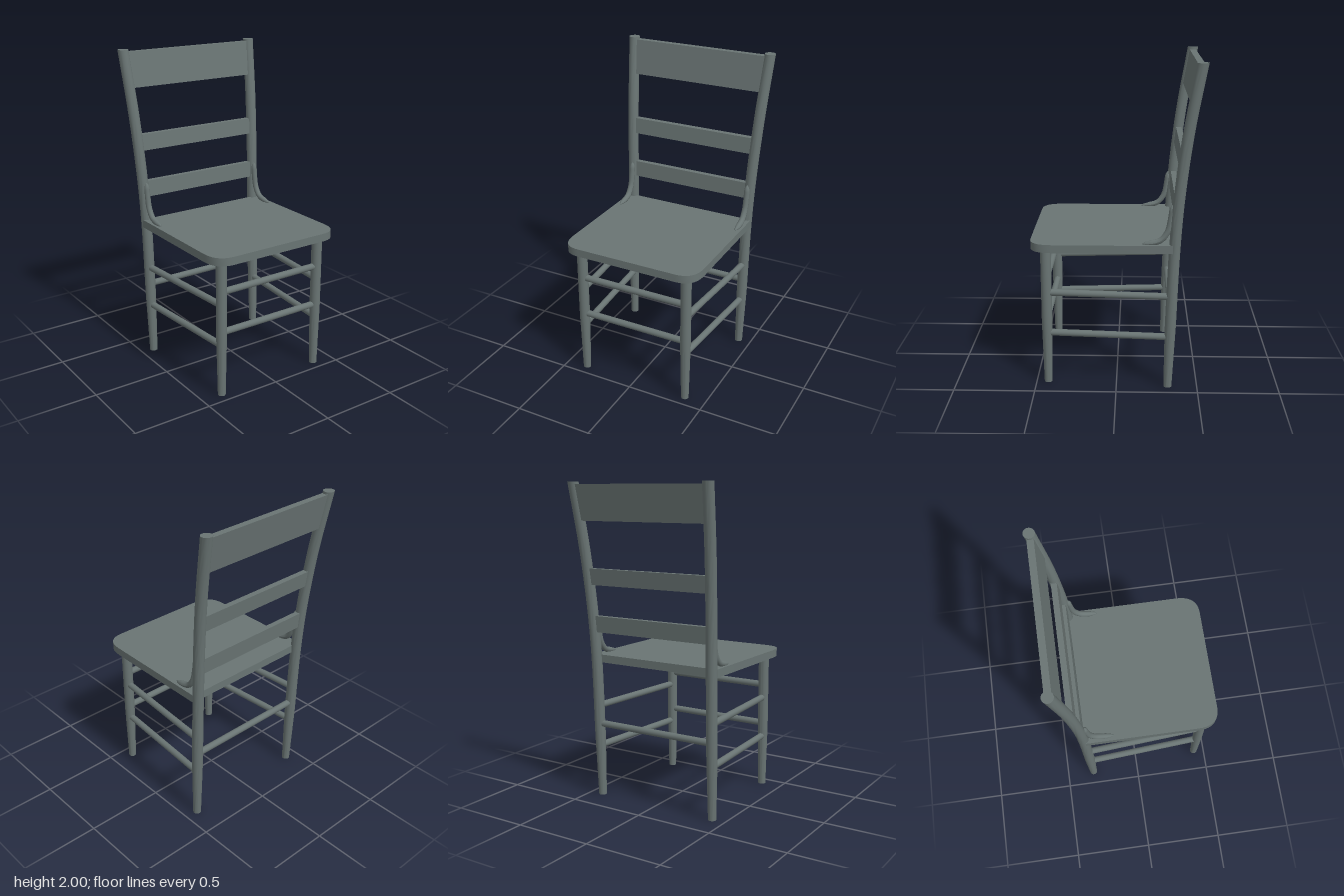
import * as THREE from 'three';
import { toCreasedNormals } from 'three/addons/utils/BufferGeometryUtils.js';

const paint = new THREE.MeshStandardMaterial({ color: 0x697473 });
paint.name = 'slate grey paint';

// Centre line of the left back post, as (x, y, z)
const postLine = new THREE.CatmullRomCurve3([
  [0.414, 0, -0.318], [0.417, 0.45, -0.331], [0.421, 0.9, -0.347], [0.43, 1.2, -0.367],
  [0.449, 1.6, -0.413], [0.472, 2, -0.482],
].map((p) => new THREE.Vector3(...p)));

// Point of the post line at a given height
function postAt(y) {
  let lo = 0, hi = 1;
  for (let i = 0; i < 24; i++) {
    const mid = (lo + hi) / 2;
    if (postLine.getPoint(mid).y < y) lo = mid; else hi = mid;
  }
  return postLine.getPoint(lo);
}

export function createModel() {
  const chair = new THREE.Group();
  chair.name = 'chair';

  function add(name, geometry) {
    const mesh = new THREE.Mesh(geometry, paint);
    mesh.name = name;
    chair.add(mesh);
    return mesh;
  }

  // Round upright with a tapered foot, following centre(y)
  function upright(name, height, radius, centre) {
    const g = new THREE.CylinderGeometry(radius, radius, height, 24, 24);
    const p = g.attributes.position;
    for (let i = 0; i < p.count; i++) {
      const y = p.getY(i) + height / 2;
      const c = centre(y);
      const s = 0.74 + 0.26 * Math.min(1, y / 0.4);
      p.setXYZ(i, c.x + p.getX(i) * s, y, c.z + p.getZ(i) * s);
    }
    return add(name, toCreasedNormals(g, 0.7));
  }

  // Round rung between two points
  function rung(name, a, b) {
    const from = new THREE.Vector3(...a), to = new THREE.Vector3(...b);
    const dir = to.clone().sub(from);
    const mesh = add(name, new THREE.CylinderGeometry(0.021, 0.021, dir.length(), 16));
    mesh.position.copy(from).add(to).multiplyScalar(0.5);
    mesh.quaternion.setFromUnitVectors(new THREE.Vector3(0, 1, 0), dir.normalize());
  }

  // Seat board with rounded front corners
  const outline = new THREE.Shape();
  outline.moveTo(-0.453, 0.34);
  outline.lineTo(-0.453, -0.38);
  outline.quadraticCurveTo(-0.453, -0.52, -0.33, -0.52);
  outline.lineTo(0.33, -0.52);
  outline.quadraticCurveTo(0.453, -0.52, 0.453, -0.38);
  outline.lineTo(0.453, 0.34);
  outline.closePath();
  const board = new THREE.ExtrudeGeometry(outline, { depth: 0.05, bevelEnabled: false, curveSegments: 10 });
  board.rotateX(-Math.PI / 2).translate(0, 0.88, 0);
  add('seat', toCreasedNormals(board, 0.6));

  for (const side of [-1, 1]) {
    const label = side > 0 ? 'left' : 'right';

    // Legs and back posts
    upright(label + 'FrontLeg', 0.89, 0.033, () => ({ x: side * 0.361, z: 0.428 }));
    upright(label + 'BackPost', 2, 0.034, (y) => {
      const c = postAt(y);
      return { x: side * c.x, z: c.z };
    });

    // Side rungs
    for (const y of [0.333, 0.597]) {
      const back = postAt(y);
      rung(label + 'SideRung', [side * 0.361, y, 0.428], [side * back.x, y, back.z]);
    }

    // Curved brace from post to seat, narrowing at both ends
    const braceLine = new THREE.CatmullRomCurve3([
      [1.175, -0.332], [1.09, -0.322], [1.01, -0.304], [0.957, -0.265], [0.938, -0.21], [0.932, -0.152],
    ].map(([y, z]) => new THREE.Vector3(side * 0.421, y, z)));
    const steps = 32, round = 12;
    const brace = new THREE.TubeGeometry(braceLine, steps, 0.018, round);
    const p = brace.attributes.position, v = new THREE.Vector3();
    for (let i = 0; i < p.count; i++) {
      const t = Math.floor(i / (round + 1)) / steps;
      const s = Math.sqrt(Math.min(1, t / 0.1, (1 - t) / 0.16));
      const c = braceLine.getPointAt(t);
      v.fromBufferAttribute(p, i).sub(c).multiplyScalar(s).add(c);
      p.setXYZ(i, v.x, v.y, v.z);
    }
    brace.computeVertexNormals();
    add(label + 'Brace', brace);
  }

  // Front and back rungs
  for (const y of [0.42, 0.682]) rung('frontRung', [-0.361, y, 0.428], [0.361, y, 0.428]);
  const rear = postAt(0.48);
  rung('backRung', [-rear.x, 0.48, rear.z], [rear.x, 0.48, rear.z]);

  // Back slats, leaning and widening with the posts
  for (const [name, low, high, depth] of [
    ['lowerSlat', 1.077, 1.18, 0.034], ['middleSlat', 1.375, 1.477, 0.036], ['topSlat', 1.768, 1.986, 0.04],
  ]) {
    const g = new THREE.BoxGeometry(2, high - low, depth);
    const q = g.attributes.position;
    for (let i = 0; i < q.count; i++) {
      const y = q.getY(i) + (low + high) / 2;
      const c = postAt(y);
      q.setXYZ(i, q.getX(i) * c.x, y, q.getZ(i) + c.z);
    }
    g.computeVertexNormals();
    add(name, g);
  }

  return chair;
}
